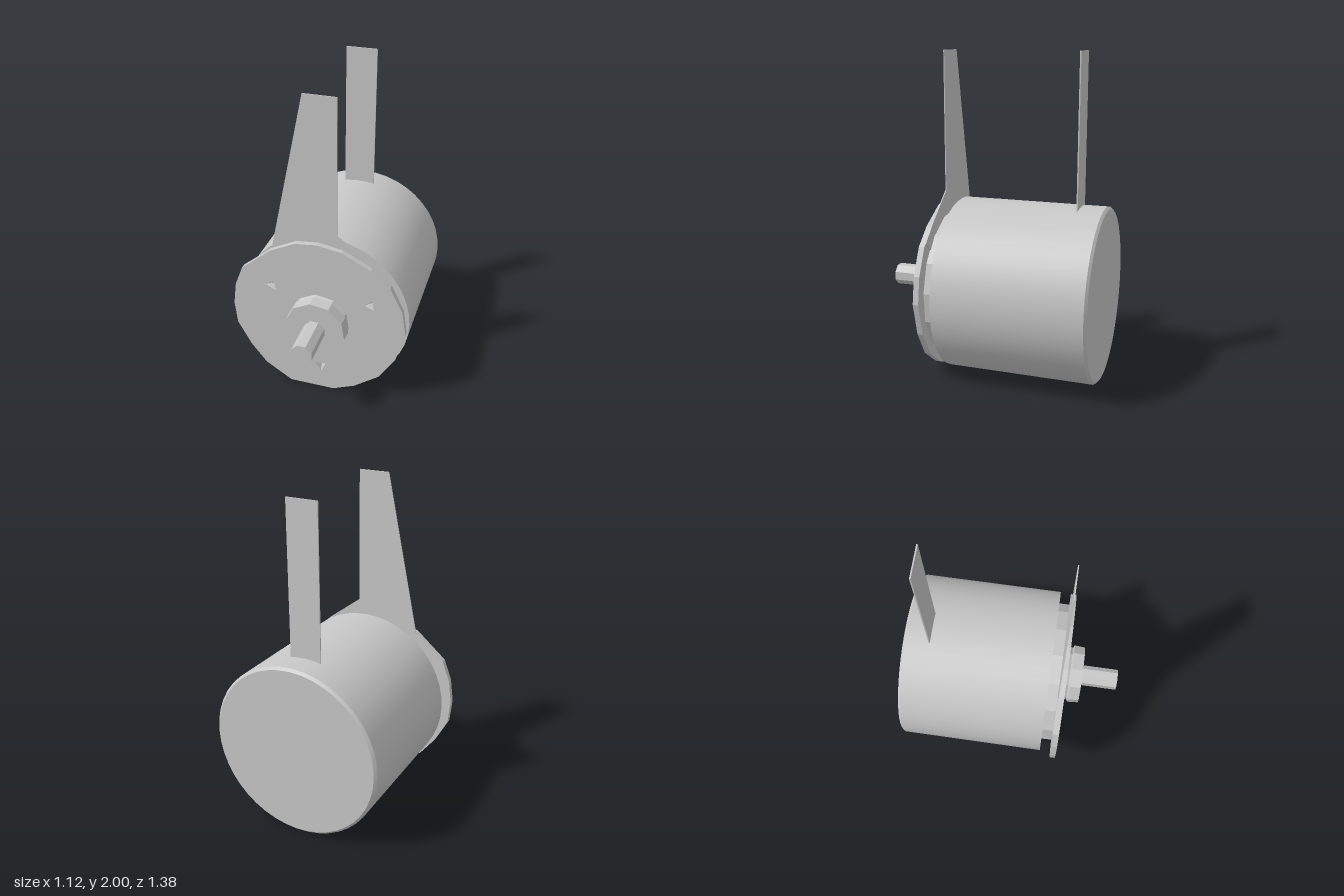
import * as THREE from 'three';
import { toCreasedNormals } from 'three/addons/utils/BufferGeometryUtils.js';

const CX = 0.015, CY = 0.543; // motor axis, running along z

export function createModel() {
  const group = new THREE.Group();
  const grey = new THREE.MeshStandardMaterial({ color: 0xc7c7c7, side: THREE.DoubleSide });
  grey.name = 'light metal grey';

  const add = (name, geometry) => {
    const mesh = new THREE.Mesh(geometry, grey);
    mesh.name = name;
    group.add(mesh);
    return mesh;
  };

  // Solid of revolution about the motor axis; profile is [radius, z] from back to front
  const turned = (name, profile, sides, crease, spin = 0) => {
    const points = profile.map(([r, z]) => new THREE.Vector2(r, z));
    const geometry = new THREE.LatheGeometry(points, sides);
    geometry.rotateX(Math.PI / 2).rotateZ(spin);
    const mesh = add(name, toCreasedNormals(geometry, crease));
    mesh.position.set(CX, CY, 0);
  };

  // Flat plate cut from an outline in x, y
  const plate = (name, outline, z, depth, holes = []) => {
    const toPoints = (list) => list.map(([x, y]) => new THREE.Vector2(x, y));
    const shape = new THREE.Shape(toPoints(outline));
    for (const hole of holes) shape.holes.push(new THREE.Path(toPoints(hole)));
    const geometry = new THREE.ExtrudeGeometry(shape, { depth, bevelEnabled: false });
    add(name, geometry.translate(0, 0, z));
  };

  // Smooth motor can with a chamfered back edge
  turned('motorCan', [[0, -0.69], [0.525, -0.69], [0.541, -0.675], [0.541, 0.238], [0, 0.238]], 44, 0.4);

  // Faceted collar between can and flange
  turned('collar', [[0.465, 0.23], [0.465, 0.31], [0, 0.31]], 16, 0.02, 0.1);

  // Front flange with three triangular screw holes
  const rim = [
    [-0.49, 0.83], [-0.54, 0.7], [-0.56, 0.55], [-0.545, 0.4], [-0.46, 0.24], [-0.36, 0.11],
    [-0.19, 0], [0.1, 0], [0.24, 0.06], [0.4, 0.18], [0.5, 0.34], [0.555, 0.545],
    [0.53, 0.71], [0.45, 0.87], [0.33, 0.97], [0.15, 1.06], [0, 1.085], [-0.14, 1.07], [-0.3, 0.99],
  ];
  const screwHoles = [
    [[-0.345, 0.74], [-0.275, 0.77], [-0.27, 0.705]],
    [[0.295, 0.715], [0.35, 0.755], [0.355, 0.69]],
    [[-0.02, 0.195], [0.05, 0.195], [0.015, 0.13]],
  ];
  plate('frontFlange', rim, 0.309, 0.035, screwHoles);

  // Sloping walls of each screw hole, meeting at a point behind the flange face
  for (const hole of screwHoles) {
    const apex = [0, 1].map((axis) => (hole[0][axis] + hole[1][axis] + hole[2][axis]) / 3);
    const corners = hole.flatMap((corner, i) => [
      ...hole[(i + 1) % 3], 0.344, ...corner, 0.344, ...apex, 0.311,
    ]);
    // Corners run clockwise, so each wall faces into the hole
    const pit = new THREE.BufferGeometry();
    pit.setAttribute('position', new THREE.Float32BufferAttribute(corners, 3));
    pit.computeVertexNormals();
    for (let i = 0; i < 9; i += 3) {
      if (pit.attributes.normal.getZ(i) < 0) throw new Error('screw hole wall faces inward');
    }
    add('screwHole', pit);
  }

  // Tapered front terminal and straight rear terminal, both thin sheet
  plate('frontTerminal', [
    [-0.085, 2], [-0.3, 0.985], [-0.49, 0.83], [-0.2, 0.75], [0.25, 0.75],
    [0.44, 0.885], [0.33, 0.985], [0.113, 1.15], [0.113, 2],
  ], 0.304, 0.006);
  plate('rearTerminal', [[-0.085, 1.06], [0.113, 1.06], [0.113, 2], [-0.085, 2]], -0.529, 0.008);

  // Faceted bearing hub with a slight waist, and the output shaft
  turned('bearingHub', [[0.19, 0.34], [0.178, 0.368], [0.195, 0.38], [0.19, 0.45], [0, 0.45]], 10, 0.02, 0.15);
  turned('outputShaft', [[0.068, 0.44], [0.068, 0.69], [0, 0.69]], 8, 0.02, Math.PI / 8);

  return group;
}
